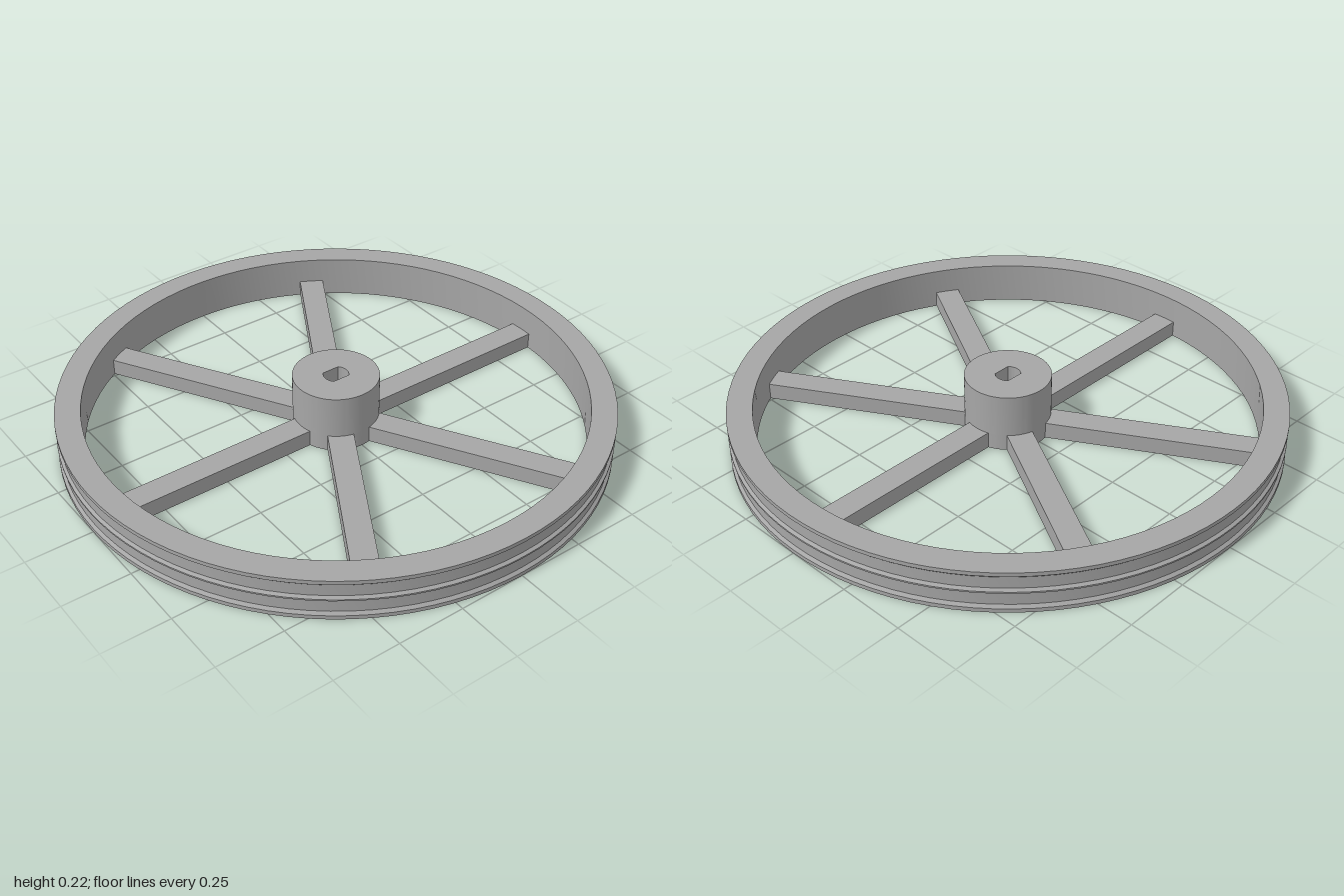
import * as THREE from 'three';
import { toCreasedNormals } from 'three/addons/utils/BufferGeometryUtils.js';

const SEGMENTS = 96;
const RIM_INNER = 0.908, RIM_HEIGHT = 0.16;
const HUB_RADIUS = 0.157, HUB_HEIGHT = 0.222;
const SPOKE_WIDTH = 0.094, SPOKE_HEIGHT = 0.062;

// Smooth round surfaces with sharp edges between profile segments
function lathe(points) {
  const profile = points.map(([r, y]) => new THREE.Vector2(r, y));
  return toCreasedNormals(new THREE.LatheGeometry(profile, SEGMENTS), 0.35);
}

export function createModel() {
  const wheel = new THREE.Group();
  wheel.name = 'spokedPulleyWheel';
  const grey = new THREE.MeshStandardMaterial({ color: 0xa6a6a6 });
  grey.name = 'plain grey';

  const add = (name, geometry, parent = wheel) => {
    const mesh = new THREE.Mesh(geometry, grey);
    mesh.name = name;
    parent.add(mesh);
    return mesh;
  };

  // Rim with two shallow belt grooves separated by a thin ridge
  add('rim', lathe([
    [RIM_INNER, 0], [1, 0], [1, 0.015], [0.99, 0.025],
    [0.99, 0.069], [1, 0.077], [1, 0.083], [0.99, 0.091],
    [0.99, 0.135], [1, 0.145], [1, RIM_HEIGHT], [RIM_INNER, RIM_HEIGHT],
    [RIM_INNER, 0],
  ]));

  // Six flat spokes, flush with the underside
  const inner = 0.13, outer = 0.915;
  for (let i = 0; i < 6; i++) {
    const spoke = new THREE.Group();
    spoke.name = `spoke${i + 1}`;
    spoke.rotation.y = i * Math.PI / 3;
    const bar = add('spokeBar', new THREE.BoxGeometry(outer - inner, SPOKE_HEIGHT, SPOKE_WIDTH), spoke);
    bar.position.set((inner + outer) / 2, SPOKE_HEIGHT / 2, 0);
    wheel.add(spoke);
  }

  // Closed hub base, which is also the floor of the shaft hole
  add('hubBase', lathe([
    [0, 0], [HUB_RADIUS, 0], [HUB_RADIUS, SPOKE_HEIGHT], [0, SPOKE_HEIGHT],
  ]));

  // Hub sleeve with a double-flatted shaft hole
  const sleeve = new THREE.Shape().absarc(0, 0, HUB_RADIUS, 0, Math.PI * 2);
  const holeRadius = 0.046, flat = Math.asin(0.032 / holeRadius);
  const hole = new THREE.Path();
  hole.absarc(0, 0, holeRadius, -flat, flat);
  hole.absarc(0, 0, holeRadius, Math.PI - flat, Math.PI + flat);
  hole.closePath();
  sleeve.holes.push(hole);
  const sleeveGeometry = new THREE.ExtrudeGeometry(sleeve, {
    depth: HUB_HEIGHT - SPOKE_HEIGHT, bevelEnabled: false, curveSegments: SEGMENTS / 2,
  });
  sleeveGeometry.rotateX(-Math.PI / 2).translate(0, SPOKE_HEIGHT, 0);
  add('hubSleeve', toCreasedNormals(sleeveGeometry, 0.35));

  return wheel;
}
